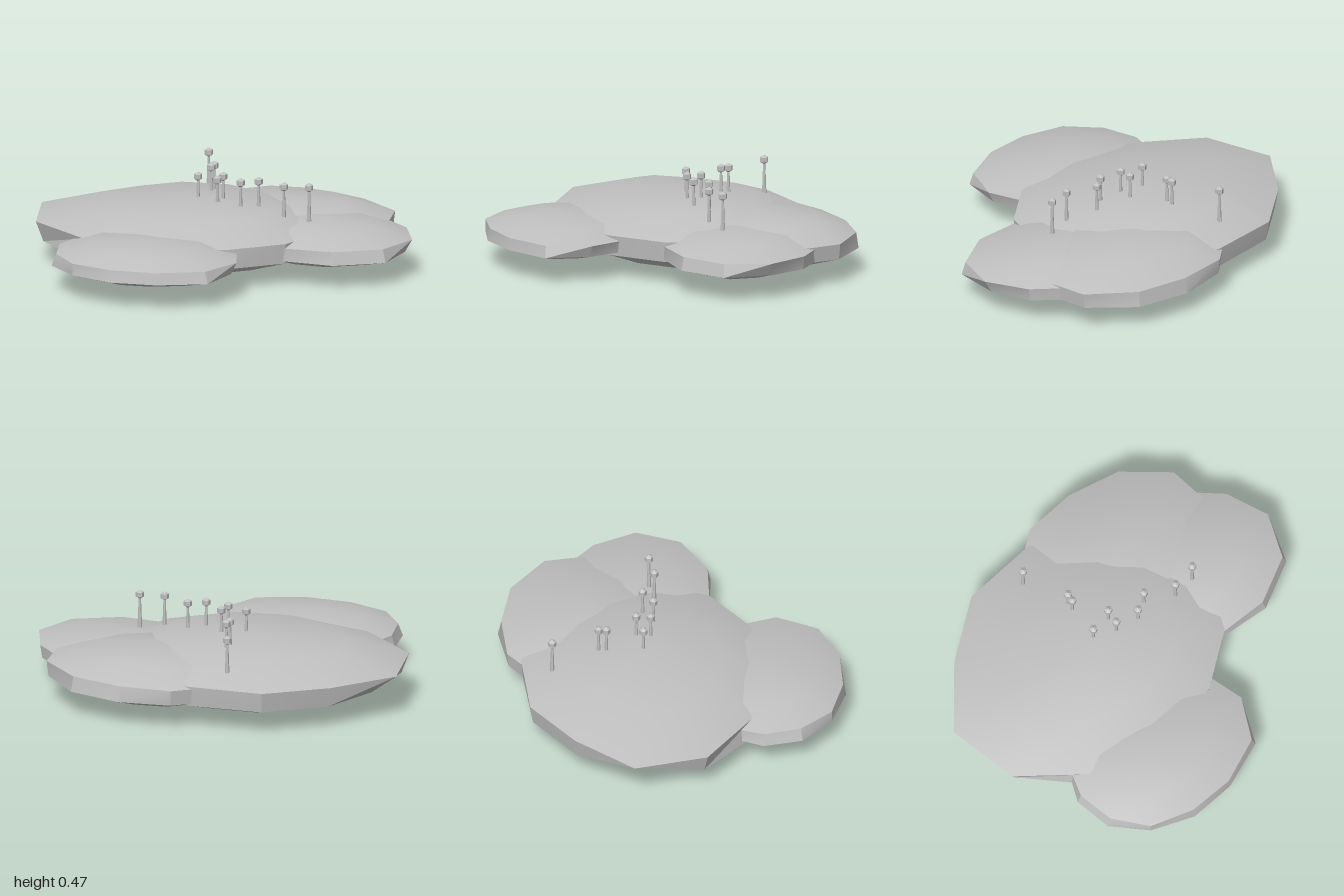
import * as THREE from 'three';
import { toCreasedNormals } from 'three/addons/utils/BufferGeometryUtils.js';

const SIDES = 12;
const DEPTH = 0.84; // lobes are shallower along z
const RING = Math.sin(Math.PI / 5) / Math.sin(2 * Math.PI / 5);

// Flattened twelve-sided lobe: two poles and four rings, with uneven rims.
// Radii run in 30 degree steps from +x towards +z.
function lobeGeometry(upper, lower, halfHeight) {
  const at = (radii, scale, y) => radii.map((r, i) => {
    const a = i * Math.PI * 2 / SIDES;
    return [Math.cos(a) * r * scale, y * halfHeight, Math.sin(a) * r * scale * DEPTH];
  });
  const rings = [
    at(upper, 0, 1), at(upper, RING, 0.809), at(upper, 1, 0.309),
    at(lower, 1, -0.309), at(lower, RING, -0.809), at(lower, 0, -1),
  ];
  const pos = [];
  for (let k = 0; k < rings.length - 1; k++) {
    for (let i = 0; i < SIDES; i++) {
      const j = (i + 1) % SIDES;
      const a = rings[k][i], b = rings[k][j], c = rings[k + 1][i], d = rings[k + 1][j];
      if (k < 4) pos.push(...a, ...d, ...c);
      if (k > 0) pos.push(...a, ...b, ...d);
    }
  }
  const g = new THREE.BufferGeometry();
  g.setAttribute('position', new THREE.Float32BufferAttribute(pos, 3));
  return toCreasedNormals(g, 0.45);
}

const LOBES = [
  { name: 'mainLobe', centre: [-0.13, 0.17, -0.13], h: 0.17,
    upper: [0.68, 0.69, 0.71, 0.75, 0.80, 0.87, 0.87, 0.76, 0.78, 0.76, 0.70, 0.68],
    lower: [0.66, 0.68, 0.70, 0.75, 0.82, 0.83, 0.73, 0.74, 0.76, 0.75, 0.70, 0.66] },
  { name: 'backLobe', centre: [0.2, 0.17, -0.45], h: 0.13,
    upper: [0.58, 0.54, 0.52, 0.52, 0.50, 0.50, 0.50, 0.52, 0.54, 0.525, 0.565, 0.60],
    lower: [0.57, 0.53, 0.52, 0.52, 0.50, 0.50, 0.50, 0.51, 0.53, 0.545, 0.58, 0.59] },
  { name: 'leftLobe', centre: [0.45, 0.165, -0.25], h: 0.11,
    upper: [0.55, 0.56, 0.53, 0.49, 0.48, 0.48, 0.48, 0.48, 0.48, 0.48, 0.48, 0.50],
    lower: [0.51, 0.58, 0.55, 0.49, 0.48, 0.48, 0.48, 0.48, 0.48, 0.48, 0.48, 0.49] },
  { name: 'frontLobe', centre: [-0.2, 0.167, 0.51], h: 0.1,
    upper: [0.54, 0.53, 0.475, 0.45, 0.46, 0.44, 0.44, 0.46, 0.48, 0.48, 0.50, 0.52],
    lower: [0.51, 0.55, 0.485, 0.468, 0.46, 0.465, 0.46, 0.46, 0.48, 0.48, 0.50, 0.51] },
];

// x, z of each post
const POSTS = [
  [-0.27, -0.6], [-0.145, -0.37], [-0.145, -0.33], [-0.14, -0.14], [-0.02, -0.185],
  [-0.02, -0.11], [0.11, -0.105], [0.185, -0.165], [0.345, -0.115], [0.47, -0.15],
];

export function createModel() {
  const group = new THREE.Group();
  const grey = new THREE.MeshStandardMaterial({ color: 0xbfbfbf });
  grey.name = 'stone grey';

  const add = (parent, name, geometry, x, y, z) => {
    const mesh = new THREE.Mesh(geometry, grey);
    mesh.name = name;
    mesh.position.set(x, y, z);
    parent.add(mesh);
  };

  // Overlapping lobes of the island
  for (const l of LOBES) add(group, l.name, lobeGeometry(l.upper, l.lower, l.h), ...l.centre);

  // Tapered posts, each with a small faceted knob
  const stem = toCreasedNormals(new THREE.CylinderGeometry(0.006, 0.013, 0.19, 6), 0.45);
  const knob = toCreasedNormals(new THREE.SphereGeometry(0.025, 6, 3), 0.45);
  knob.rotateY(Math.PI / 6);
  for (const [x, z] of POSTS) {
    const post = new THREE.Group();
    post.name = 'post';
    post.position.set(x, 0, z);
    add(post, 'stem', stem, 0, 0.335, 0);
    add(post, 'knob', knob, 0, 0.445, 0);
    group.add(post);
  }
  return group;
}
